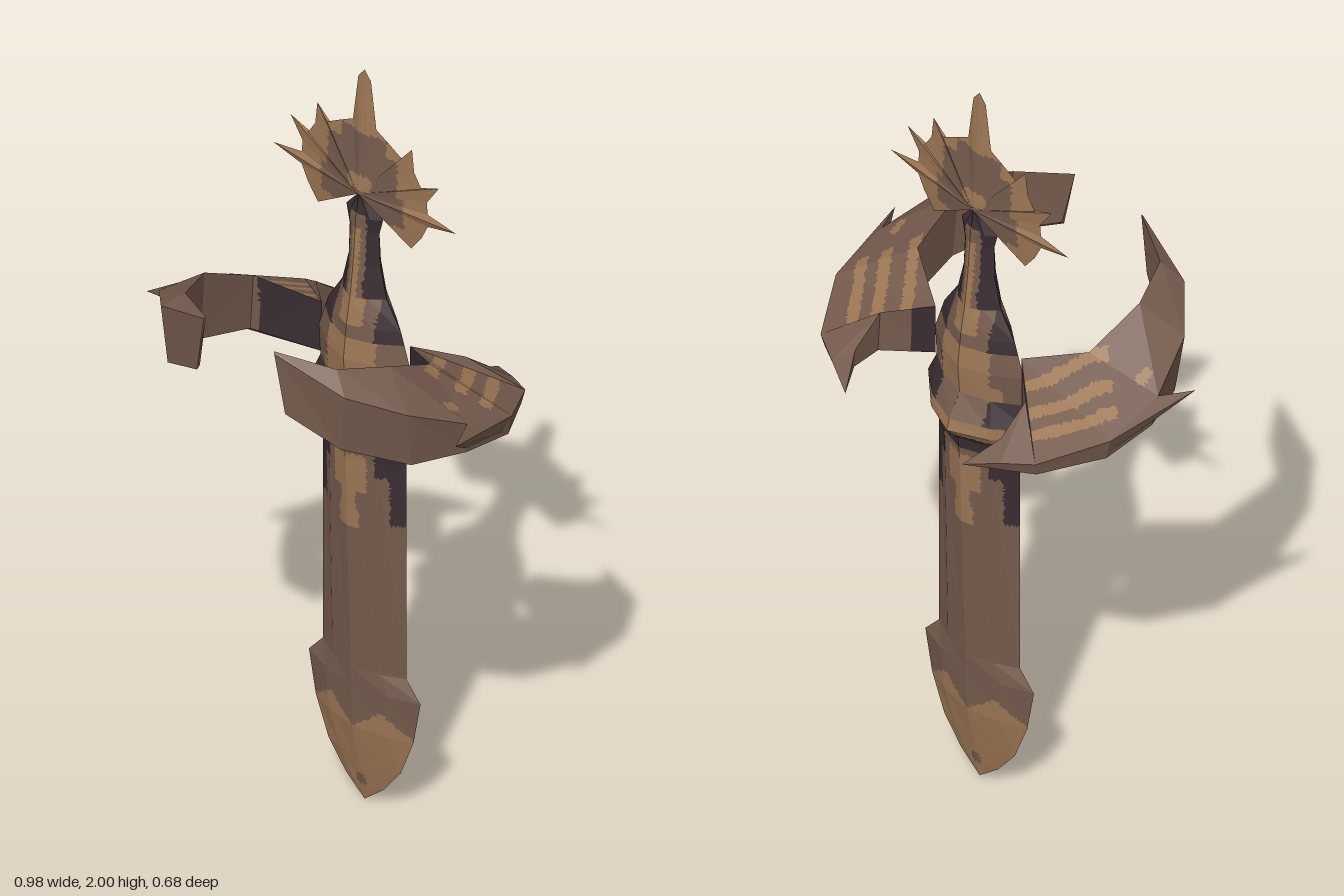
import * as THREE from 'three';

const brown = new THREE.MeshStandardMaterial({ color: 0x745a4c });
const tan = new THREE.MeshStandardMaterial({ color: 0x9c7654 });
const dark = new THREE.MeshStandardMaterial({ color: 0x392c30 });
brown.name = 'mid brown';
tan.name = 'tan';
dark.name = 'dark umber';
const materials = [brown, tan, dark];
const BROWN = 0, TAN = 1, DARK = 2;
const ZC = -0.088; // depth of the blade's plane
const V = (x, y, z) => new THREE.Vector3(x, y, z);

// Triangles between cross-sections, closed at both ends and facing outward
function loft(rings) {
  const tris = [];
  const n = rings[0].length;
  for (let i = 0; i < rings.length - 1; i++) {
    for (let j = 0; j < n; j++) {
      const k = (j + 1) % n;
      const a = rings[i][j], b = rings[i][k], c = rings[i + 1][k], d = rings[i + 1][j];
      tris.push([a, b, c], [a, c, d]);
    }
  }
  const first = rings[0], last = rings[rings.length - 1];
  for (let j = 1; j < n - 1; j++) {
    tris.push([first[0], first[j + 1], first[j]], [last[0], last[j], last[j + 1]]);
  }
  let volume = 0;
  for (const [a, b, c] of tris) volume += a.dot(b.clone().cross(c));
  return volume < 0 ? tris.map(([a, b, c]) => [a, c, b]) : tris;
}

// Split faces finely, then give each small face the colour chosen by the rule
function paintedMesh(name, tris, rule) {
  const buckets = [[], [], []];
  const split = (a, b, c, normal) => {
    const ab = a.distanceTo(b), bc = b.distanceTo(c), ca = c.distanceTo(a);
    if (Math.max(ab, bc, ca) > 0.016) {
      // halve the longest edge
      let [p, q, r] = [a, b, c];
      if (bc > ab && bc >= ca) [p, q, r] = [b, c, a];
      else if (ca > ab) [p, q, r] = [c, a, b];
      const m = p.clone().lerp(q, 0.5);
      split(p, m, r, normal);
      split(m, q, r, normal);
      return;
    }
    const centre = a.clone().add(b).add(c).divideScalar(3);
    const bucket = buckets[rule(centre, normal)];
    for (const v of [a, b, c]) bucket.push(v.x, v.y, v.z);
  };
  for (const [a, b, c] of tris) {
    const normal = b.clone().sub(a).cross(c.clone().sub(a));
    if (normal.length() > 1e-7) split(a, b, c, normal.normalize());
  }
  const geometry = new THREE.BufferGeometry();
  geometry.setAttribute('position', new THREE.Float32BufferAttribute(buckets.flat(), 3));
  let start = 0;
  buckets.forEach((bucket, i) => {
    if (bucket.length) geometry.addGroup(start, bucket.length / 3, i);
    start += bucket.length / 3;
  });
  geometry.computeVertexNormals();
  const mesh = new THREE.Mesh(geometry, materials);
  mesh.name = name;
  return mesh;
}

// Blade, collar and grip: height, half width, half depth
const bodyProfile = [
  [0, 0, 0], [0.05, 0.06, 0.01], [0.12, 0.115, 0.023], [0.22, 0.155, 0.043],
  [0.335, 0.177, 0.046], [0.385, 0.132, 0.048], [0.97, 0.132, 0.066], [1.03, 0.145, 0.072],
  [1.07, 0.165, 0.108], [1.1, 0.168, 0.1], [1.16, 0.14, 0.066], [1.24, 0.145, 0.072],
  [1.33, 0.115, 0.062], [1.4, 0.07, 0.05], [1.48, 0.05, 0.04], [1.57, 0.047, 0.033],
  [1.61, 0.058, 0.03], [1.67, 0.005, 0.02],
];
const bodyRing = ([y, w, d]) => [
  [1, 0], [0.56, 0.62], [0, 1], [-0.56, 0.62], [-1, 0], [-0.56, -0.62], [0, -1], [0.56, -0.62],
].map(([x, z]) => V(x * w, y, ZC + z * d));

function bodyColour(p) {
  const x = Math.abs(p.x), y = p.y;
  if (y < 0.4) {
    if (Math.hypot(x, y - 0.06) < 0.016) return BROWN;
    return y < 0.22 + 0.06 * (1 - Math.abs(x - 0.08) / 0.08) ? TAN : BROWN;
  }
  if (y < 0.78) return BROWN;
  if (y < 1) {
    if (y < 0.98 && x < (y < 0.83 ? 0.03 : y < 0.88 ? 0.022 : 0.05)) return TAN;
    return (y > 0.8 && x > 0.1) || (y > 0.93 && x > 0.07) ? DARK : BROWN;
  }
  if (y < 1.05) return DARK;
  if (y < 1.1) return x < 0.12 ? TAN : DARK;
  if (y < 1.16) return x < 0.075 ? BROWN : DARK;
  if (y < 1.3) return x < (y < 1.2 ? 0.1 : 0.075) ? TAN : BROWN;
  if (y < 1.4) return x < 0.035 && y > 1.33 ? TAN : x < 0.065 ? BROWN : DARK;
  if (y < 1.58 && x < 0.013) return TAN;
  return x < 0.025 && y < 1.62 ? BROWN : DARK;
}

// Spiked crest outline, right half from the top down
const crestHalf = [
  [0.02, 1.975], [0.037, 1.85], [0.075, 1.83], [0.12, 1.805], [0.15, 1.845], [0.157, 1.785],
  [0.18, 1.75], [0.235, 1.775], [0.197, 1.72], [0.2, 1.688], [0.29, 1.675], [0.2, 1.655],
  [0.18, 1.615], [0.148, 1.573],
];
function crestTriangles() {
  const rim = [
    ...crestHalf.slice().reverse().map(([x, y]) => V(-x, y, ZC)),
    V(0, 2, ZC),
    ...crestHalf.map(([x, y]) => V(x, y, ZC)),
  ];
  const front = V(0, 1.67, ZC + 0.024), back = V(0, 1.67, ZC - 0.024);
  const tris = [[front, rim[0], back], [back, rim[rim.length - 1], front]];
  for (let i = 0; i < rim.length - 1; i++) {
    tris.push([front, rim[i + 1], rim[i]], [back, rim[i], rim[i + 1]]);
  }
  return tris;
}
function crestColour(p) {
  const x = Math.abs(p.x), y = p.y;
  if (x < 0.035 && y > 1.68 && y < 1.72) return TAN;
  if (y > 1.7) return (x < 0.11 && y < 1.79) || (x < 0.07 && y < 1.83) ? BROWN : TAN;
  return x < 0.13 && y > 1.62 ? BROWN : TAN;
}

// Wing cross-sections from front tip to rear tip: inner top, outer ridge, outer bottom, inner bottom
const wingRings = [
  [[0.108, 1.47, 0.334], [0.112, 1.465, 0.337], [0.14, 1.31, 0.33], [0.138, 1.32, 0.322]],
  [[0.24, 1.445, 0.263], [0.292, 1.4, 0.29], [0.275, 1.25, 0.285], [0.25, 1.27, 0.255]],
  [[0.295, 1.42, 0.14], [0.395, 1.35, 0.187], [0.385, 1.2, 0.165], [0.31, 1.23, 0.135]],
  [[0.28, 1.35, -0.01], [0.45, 1.285, 0.045], [0.44, 1.2, 0.035], [0.29, 1.2, -0.01]],
  [[0.14, 1.3, -0.092], [0.447, 1.235, -0.11], [0.435, 1.18, -0.11], [0.14, 1.165, -0.092]],
  [[0.237, 1.275, -0.176], [0.35, 1.195, -0.258], [0.345, 1.16, -0.25], [0.24, 1.165, -0.18]],
  [[0.237, 1.21, -0.258], [0.275, 1.18, -0.297], [0.27, 1.155, -0.29], [0.24, 1.16, -0.258]],
  [[0.19, 1.153, -0.338], [0.19, 1.153, -0.338], [0.19, 1.153, -0.338], [0.19, 1.153, -0.338]],
].map((ring) => ring.map((p) => V(...p)));

function wingColour(p, normal) {
  if (normal.y > 0.35) {
    // slanting stripes and a small square mark on the upper face
    const across = 0.8 * p.x - 0.6 * p.z, along = 0.6 * p.x + 0.8 * p.z;
    if (along > 0 && along < 0.205) {
      if ([0.364, 0.307, 0.238].some((c) => Math.abs(across - c) < 0.014)) return TAN;
    }
    if (Math.abs(p.x - 0.402) < 0.011 && Math.abs(p.z - 0.047) < 0.02) return TAN;
    return BROWN;
  }
  const innerWall = normal.x < 0 && normal.y > -0.5;
  return innerWall && p.x < 0.27 && p.z > -0.13 && p.z < 0 ? DARK : BROWN;
}

const spurTip = V(0.49, 1.278, 0.127);
const spurRings = [
  [V(0.45, 1.285, 0.045), V(0.44, 1.21, 0.035), V(0.44, 1.2, -0.08), V(0.447, 1.235, -0.11)],
  [spurTip, spurTip, spurTip, spurTip],
];

function createWing(side, name) {
  const wing = new THREE.Group();
  wing.name = name;
  wing.add(paintedMesh('curvedWing', loft(wingRings), wingColour));
  wing.add(paintedMesh('wingSpur', loft(spurRings), () => BROWN));
  wing.scale.x = side;
  return wing;
}

export function createModel() {
  const model = new THREE.Group();
  model.name = 'wingedDagger';
  model.add(paintedMesh('bladeAndGrip', loft(bodyProfile.map(bodyRing)), bodyColour));
  model.add(paintedMesh('spikedCrest', crestTriangles(), crestColour));
  model.add(createWing(1, 'leftWing'), createWing(-1, 'rightWing'));
  return model;
}
